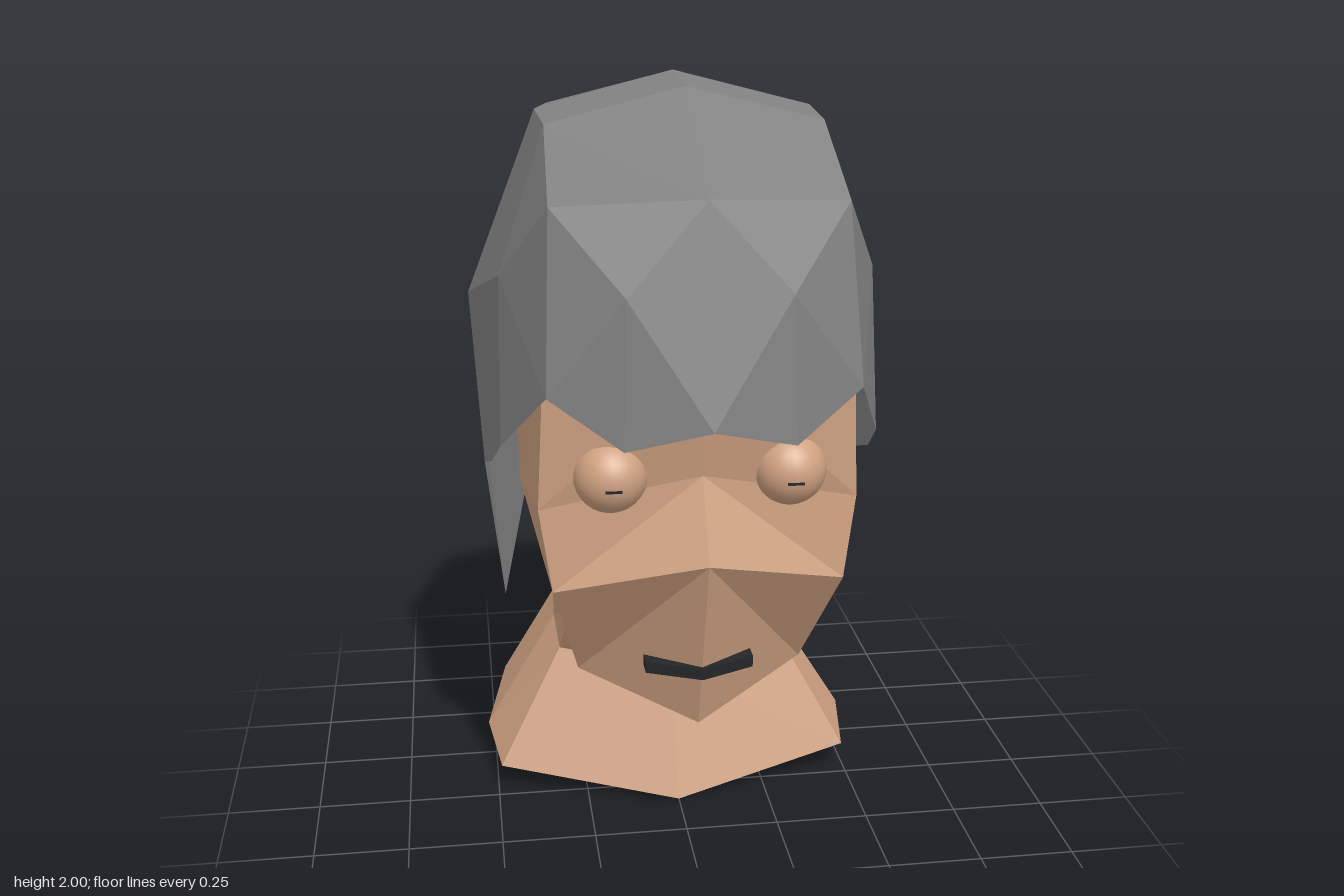
import * as THREE from 'three';

const material = (name, color, side = THREE.FrontSide) => {
  const m = new THREE.MeshStandardMaterial({ color, side, flatShading: true });
  m.name = name;
  return m;
};

// Builds a mirrored faceted shell from left-half points and polygons,
// turning every face away from the given inner point.
function shell(name, points, faces, inner, mat) {
  const pos = [];
  const ref = new THREE.Vector3(...inner);
  for (const side of [1, -1]) {
    const p = points.map(([x, y, z]) => new THREE.Vector3(x * side, y, z));
    for (const face of faces) {
      for (let i = 1; i < face.length - 1; i++) {
        const a = p[face[0]], b = p[face[i]], c = p[face[i + 1]];
        const normal = b.clone().sub(a).cross(c.clone().sub(a));
        const mid = a.clone().add(b).add(c).divideScalar(3).sub(ref);
        const tri = normal.dot(mid) < 0 ? [a, c, b] : [a, b, c];
        tri.forEach((v) => pos.push(v.x, v.y, v.z));
      }
    }
  }
  const geo = new THREE.BufferGeometry();
  geo.setAttribute('position', new THREE.Float32BufferAttribute(pos, 3));
  geo.computeVertexNormals();
  const mesh = new THREE.Mesh(geo, mat);
  mesh.name = name;
  return mesh;
}

export function createModel() {
  const model = new THREE.Group();
  model.name = 'bust';
  const skin = material('skin', 0xd0a282, THREE.DoubleSide);
  const hairMat = material('hair grey', 0x828282, THREE.DoubleSide);
  const dark = material('mouth black', 0x242628);
  const lid = material('eye skin', 0xd0a282);
  lid.flatShading = false;

  // Hair: centre line, crown edge, side line, then the jagged lower edge
  const hairPoints = [
    [0, 1.27, 0.67], [0, 1.78, 0.57], [0, 1.985, 0.19], [0, 2, -0.04],
    [0, 1.93, -0.33], [0, 1.59, -0.6], [0, 1.35, -0.66], [0, 0.79, -0.67],
    [0.35, 1.75, 0.45], [0.34, 1.9, 0.19], [0.35, 1.91, -0.03], [0.31, 1.9, -0.23],
    [0.41, 1.52, -0.44], [0.4, 1.29, -0.51], [0.37, 0.79, -0.5],
    [0.46, 1.55, 0.24], [0.53, 1.42, -0.16], [0.19, 1.57, 0.61],
    [0.2, 1.22, 0.63], [0.37, 1.33, 0.55], [0.47, 1.14, 0.3], [0.49, 1.05, 0.15],
    [0.505, 0.98, -0.05], [0.46, 0.56, -0.13],
  ];
  const hairFaces = [
    [17, 0, 1], [17, 1, 8], [17, 8, 19], [17, 19, 18], [17, 18, 0],
    [1, 2, 9, 8], [2, 3, 10, 9], [3, 4, 11, 10],
    [4, 5, 12, 11], [5, 6, 13, 12], [6, 7, 14, 13],
    [8, 9, 15], [9, 10, 16, 15], [10, 11, 12, 16],
    [8, 15, 19], [15, 20, 19], [15, 16, 22, 21, 20],
    [16, 12, 13], [16, 13, 14, 23], [16, 23, 22],
  ];
  model.add(shell('hair', hairPoints, hairFaces, [0, 1.3, 0], hairMat));

  // Head: hairline ring, brow ring, then nose, cheek and jaw
  const headPoints = [
    [0, 1.4, 0.56], [0.37, 1.4, 0.46], [0.42, 1.3, 0.15],
    [0.42, 1.2, -0.12], [0.33, 1.2, -0.42], [0, 1.2, -0.52],
    [0, 1.11, 0.5], [0.39, 1.02, 0.44], [0.42, 1.0, 0.15],
    [0.41, 0.95, -0.12], [0.31, 1.0, -0.38], [0, 1.0, -0.48],
    [0, 0.92, 0.61], [0.36, 0.81, 0.455], [0, 0.43, 0.45], [0.29, 0.52, 0.28],
    [0.29, 0.56, 0.02], [0, 0.47, 0.09],
    [0.33, 0.68, -0.15], [0.28, 0.72, -0.32], [0, 0.8, -0.44],
  ];
  const headFaces = [
    [0, 1, 7, 6], [1, 2, 8, 7], [2, 3, 9, 8], [3, 4, 10, 9], [4, 5, 11, 10],
    [6, 7, 13, 12], [12, 13, 15, 14], [14, 15, 16, 17],
    [7, 8, 13], [8, 16, 15, 13], [8, 9, 16],
    [9, 18, 16], [9, 10, 19, 18], [10, 11, 20, 19],
  ];
  model.add(shell('head', headPoints, headFaces, [0, 0.9, 0.05], skin));

  // Neck and shoulders: three rings from front centre to back centre, open below
  const neckPoints = [
    [0, 0.47, 0.09], [0.29, 0.56, 0.02], [0.33, 0.68, -0.15], [0.28, 0.72, -0.32], [0, 0.8, -0.44],
    [0, 0.35, -0.03], [0.315, 0.4, -0.1], [0.32, 0.43, -0.26], [0.3, 0.46, -0.42], [0, 0.5, -0.48],
    [0, 0.01, 0.09], [0.49, 0.08, -0.02], [0.52, 0.11, -0.23], [0.46, 0.14, -0.53], [0, 0.15, -0.56],
  ];
  const neckFaces = [];
  for (let row = 0; row < 2; row++) {
    for (let i = 0; i < 4; i++) {
      const k = row * 5 + i;
      neckFaces.push([k, k + 1, k + 6, k + 5]);
    }
  }
  // the lowest front point rests on the ground
  neckPoints[10][1] = 0;
  model.add(shell('neckAndShoulders', neckPoints, neckFaces, [0, 0.4, -0.28], skin));

  // Closed eyes with a tiny dark slit
  for (const side of [1, -1]) {
    const eye = new THREE.Mesh(new THREE.SphereGeometry(0.09, 24, 16), lid);
    eye.name = side > 0 ? 'leftEye' : 'rightEye';
    eye.position.set(side * 0.217, 1.107, 0.457);
    const slit = new THREE.Mesh(new THREE.BoxGeometry(0.04, 0.006, 0.008), dark);
    slit.name = 'eyeSlit';
    slit.position.set(0, -0.012, 0.087);
    eye.add(slit);
    model.add(eye);
  }

  // Mouth: a bar bent around the face
  const bar = new THREE.Shape([
    [-0.135, -0.46], [0, -0.52], [0.135, -0.46], [0.135, -0.41], [0, -0.47], [-0.135, -0.41],
  ].map(([x, y]) => new THREE.Vector2(x, y)));
  const mouthGeo = new THREE.ExtrudeGeometry(bar, { depth: 0.03, bevelEnabled: false });
  mouthGeo.rotateX(-Math.PI / 2);
  const mouth = new THREE.Mesh(mouthGeo, dark);
  mouth.name = 'mouth';
  mouth.position.y = 0.583;
  model.add(mouth);

  return model;
}
